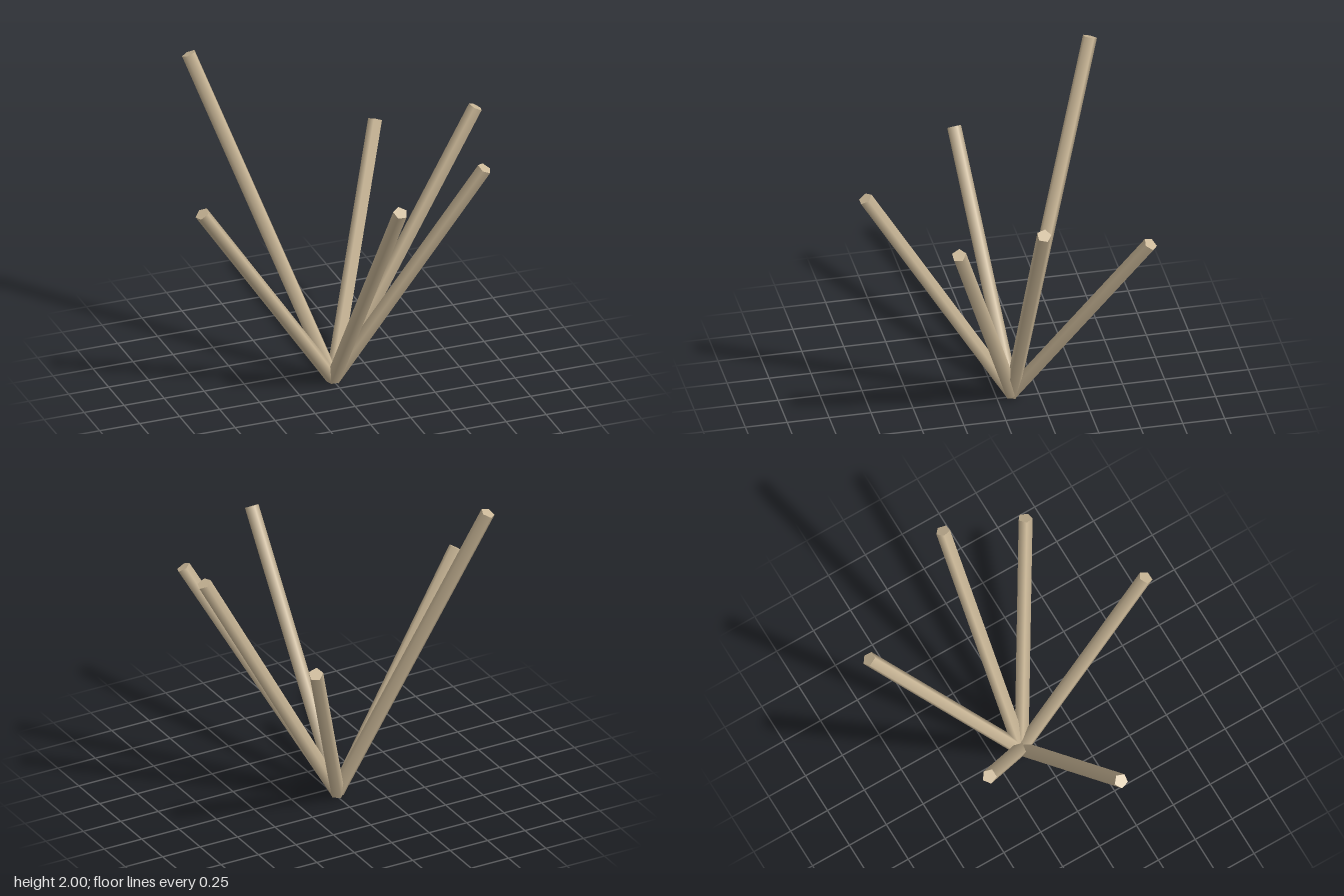
import * as THREE from 'three';

export function createModel() {
  const group = new THREE.Group();
  group.name = 'stickBundle';
  const wood = new THREE.MeshStandardMaterial({ color: 0xcbb898 });
  const radius = 0.044;
  const base = new THREE.Vector3(-0.005, 0.02, -0.09);
  const up = new THREE.Vector3(0, 1, 0);

  // Centres of the upper ends of the sticks
  const tips = [
    [-0.67, 1.98, -0.70],
    [-0.885, 1.335, 0.065],
    [0.07, 1.515, 0.80],
    [0.755, 1.485, 0.39],
    [0.885, 1.635, -0.09],
    [0.535, 1.275, -0.80],
  ];

  // Five-sided sticks fanning out from one shared foot
  tips.forEach((p, i) => {
    const axis = new THREE.Vector3(...p).sub(base);
    const length = axis.length();
    const geometry = new THREE.CylinderGeometry(radius, radius, length, 5, 1, false, Math.PI);
    geometry.translate(0, length / 2, 0);
    const stick = new THREE.Mesh(geometry, wood);
    stick.name = `stick${i + 1}`;
    stick.position.copy(base);
    stick.quaternion.setFromUnitVectors(up, axis.normalize());
    group.add(stick);
  });

  return group;
}
